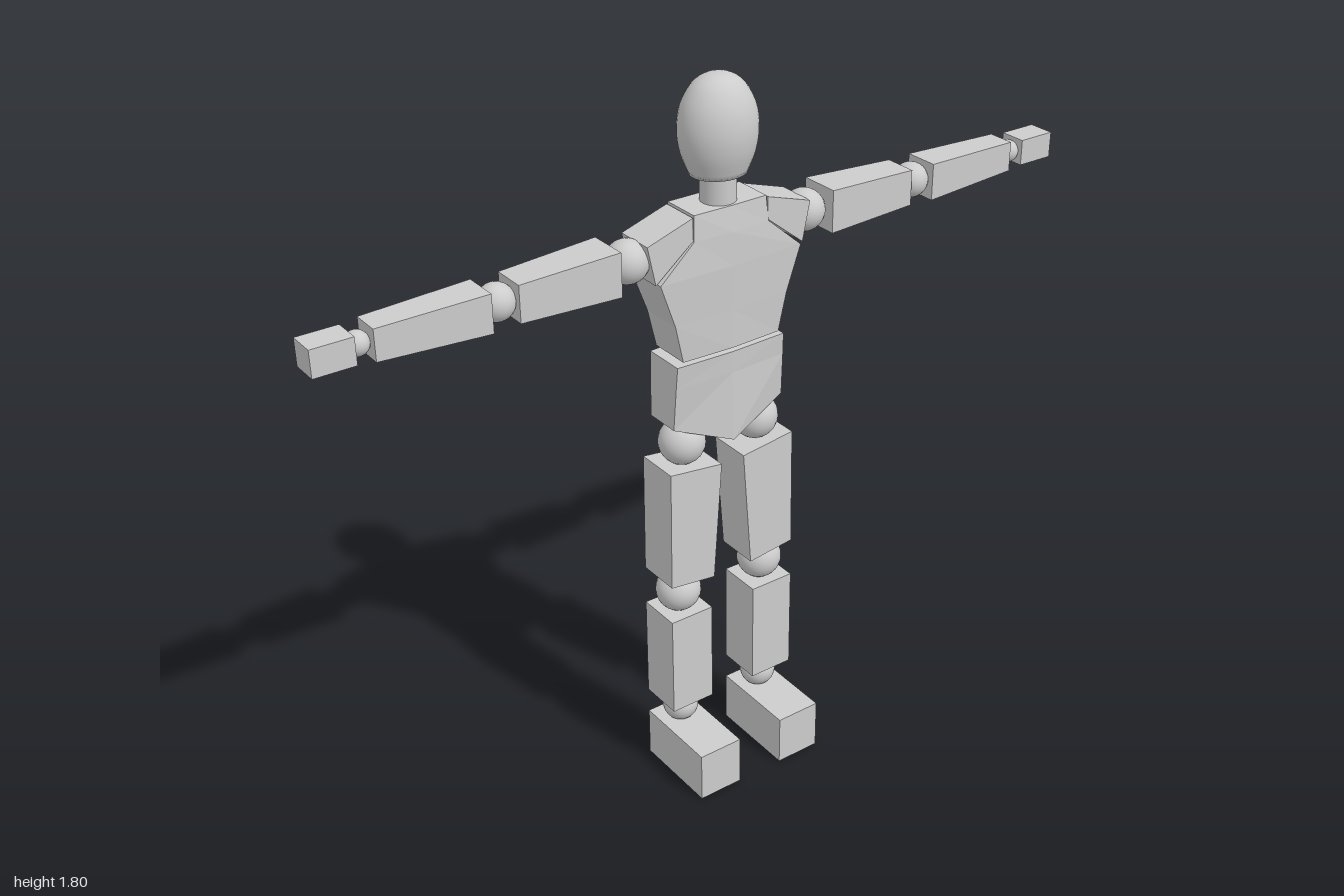
import * as THREE from 'three';

const CX = -0.05; // body mid-plane in x; the figure looks toward +x

// Solid through equal-sized rings of [x, y, z], closed at both ends, always facing outward
function loft(rings) {
  const n = rings[0].length, tris = [];
  for (let r = 0; r + 1 < rings.length; r++) {
    for (let i = 0; i < n; i++) {
      const j = (i + 1) % n, a = rings[r], b = rings[r + 1];
      tris.push([a[i], b[i], b[j]], [a[i], b[j], a[j]]);
    }
  }
  const first = rings[0], last = rings[rings.length - 1];
  for (let i = 1; i + 1 < n; i++) {
    tris.push([first[0], first[i], first[i + 1]], [last[0], last[i + 1], last[i]]);
  }
  let volume = 0;
  const v = (p) => new THREE.Vector3(...p);
  for (const [a, b, c] of tris) volume += v(a).dot(v(b).cross(v(c)));
  if (volume < 0) tris.forEach((t) => t.reverse());
  const geo = new THREE.BufferGeometry();
  geo.setAttribute('position', new THREE.Float32BufferAttribute(tris.flat(2), 3));
  geo.computeVertexNormals();
  return geo;
}

// Torso ring: bulging slightly at the centre of front and back; dip lowers the centre
function torsoRing(y, half, backMid, backSide, frontSide, frontMid, dip = 0) {
  return [
    [frontMid, y - dip, 0], [frontSide, y, half], [backSide, y, half],
    [backMid, y - dip, 0], [backSide, y, -half], [frontSide, y, -half],
  ];
}

export function createModel() {
  const model = new THREE.Group();
  const grey = new THREE.MeshStandardMaterial({ color: 0xcccccc });
  grey.name = 'light grey';

  function add(name, geo, parent = model) {
    const mesh = new THREE.Mesh(geo, grey);
    mesh.name = name;
    parent.add(mesh);
    return mesh;
  }

  // Egg-shaped head with a flat underside
  const profile = [[0, 1.575], [0.068, 1.575], [0.073, 1.588]].map((p) => new THREE.Vector2(...p));
  const curve = new THREE.SplineCurve([
    [0.073, 1.588], [0.088, 1.63], [0.094, 1.68], [0.085, 1.732], [0.06, 1.775], [0.03, 1.795], [0, 1.8],
  ].map((p) => new THREE.Vector2(...p)));
  const head = add('head', new THREE.LatheGeometry([...profile, ...curve.getPoints(20).slice(1)], 32));
  head.position.x = -0.048;
  head.scale.x = 0.89;

  // Neck
  add('neck', new THREE.CylinderGeometry(0.042, 0.042, 0.09, 24)).position.set(-0.048, 1.54, 0);

  // Chest, stepping in at the top to seat the shoulder blocks
  add('chest', loft([
    torsoRing(1.165, 0.134, -0.118, -0.106, 0.002, 0.008),
    torsoRing(1.26, 0.155, -0.121, -0.108, 0.004, 0.008),
    torsoRing(1.37, 0.193, -0.126, -0.116, 0.005, 0.01),
    torsoRing(1.45, 0.102, -0.115, -0.112, 0.003, 0.008),
    torsoRing(1.51, 0.098, -0.102, -0.102, -0.002, 0),
  ]));

  // Pelvis with a V-shaped underside
  add('pelvis', loft([
    torsoRing(1.155, 0.15, -0.117, -0.107, 0.002, 0.008),
    torsoRing(1.1, 0.143 + 0.009, -0.116, -0.106, -0.002, 0.006),
    torsoRing(0.99, 0.155, -0.1, -0.103, -0.01, 0.012, 0.065),
  ]));

  for (const [side, s] of [['left', -1], ['right', 1]]) {
    const arm = new THREE.Group(), leg = new THREE.Group();
    arm.name = side + 'Arm';
    leg.name = side + 'Leg';
    model.add(arm, leg);

    const ball = (name, y, z, r, parent) =>
      add(name, new THREE.SphereGeometry(r, 24, 16), parent).position.set(CX, y, s * z);

    // Four-sided block between ends given as [z, low y, high y, half depth in x, z shift at bottom]
    const armBlock = (name, ends) => add(name, loft(ends.map(([z, lo, hi, d, shift = 0]) => [
      [CX - d, lo, s * (z + shift)], [CX + d, lo, s * (z + shift)], [CX + d, hi, s * z], [CX - d, hi, s * z],
    ])), arm);

    armBlock('shoulderBlock', [[0.102, 1.452, 1.506, 0.05], [0.222, 1.372, 1.468, 0.05, -0.02]]);
    ball('shoulderJoint', 1.424, 0.243, 0.051, arm);
    armBlock('upperArm', [[0.289, 1.37, 1.475, 0.051], [0.535, 1.376, 1.464, 0.042]]);
    ball('elbowJoint', 1.42, 0.568, 0.043, arm);
    armBlock('forearm', [[0.6, 1.373, 1.464, 0.044], [0.862, 1.384, 1.458, 0.035]]);
    ball('wristJoint', 1.42, 0.885, 0.028, arm);
    armBlock('hand', [[0.902, 1.389, 1.453, 0.034], [1, 1.389, 1.453, 0.034]]);

    // Four-sided block between ends given as [inner z, inner y, outer z, outer y]
    const legBlock = (name, back, front, ends) => add(name, loft(ends.map(([zi, yi, zo, yo]) => [
      [back, yi, s * zi], [front, yi, s * zi], [front, yo, s * zo], [back, yo, s * zo],
    ])), leg);

    ball('hipJoint', 0.93, 0.106, 0.057, leg);
    legBlock('thigh', -0.107, 0.007, [[0.032, 0.867, 0.177, 0.885], [0.055, 0.557, 0.18, 0.572]]);
    ball('kneeJoint', 0.52, 0.123, 0.056, leg);
    legBlock('shin', -0.107, 0.007, [[0.063, 0.47, 0.181, 0.47], [0.063, 0.2, 0.181, 0.2]]);
    ball('ankleJoint', 0.169, 0.122, 0.045, leg);
    legBlock('foot', -0.107, 0.124, [[0.063, 0.132, 0.181, 0.132], [0.063, 0, 0.181, 0]]);
  }
  return model;
}
